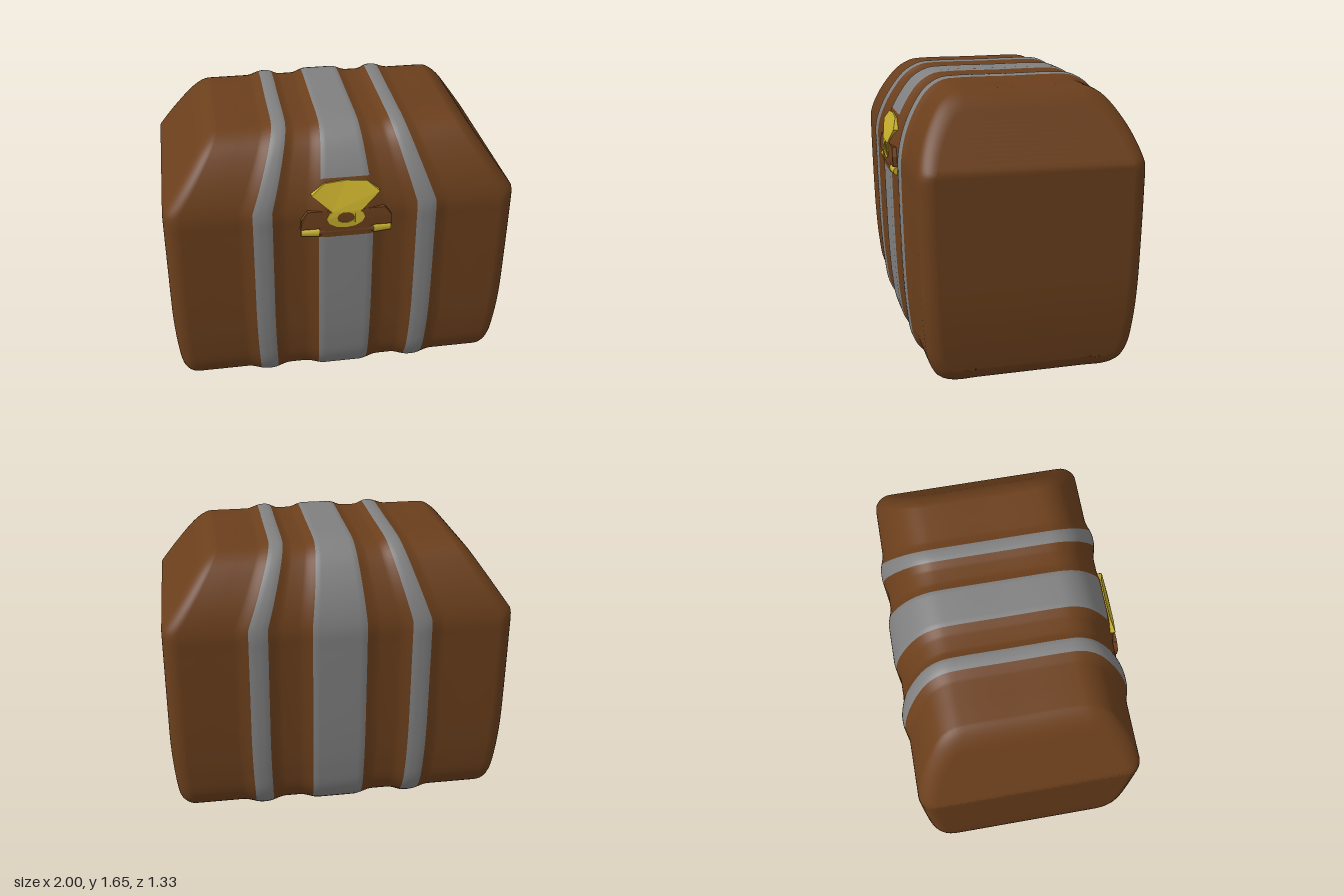
import * as THREE from 'three';

const brown = new THREE.MeshStandardMaterial({ color: 0x6b3f1c });
const grey = new THREE.MeshStandardMaterial({ color: 0x808080 });
const gold = new THREE.MeshStandardMaterial({ color: 0xc8b02c });

// Half cross-section of the chest as (z, y), from bottom middle over the front to top middle
const section = new THREE.CatmullRomCurve3([
  [0, 0.032], [0.3, 0.032], [0.45, 0.033], [0.53, 0.066], [0.58, 0.15], [0.605, 0.3], [0.62, 0.5],
  [0.63, 0.8], [0.635, 1.1], [0.634, 1.22], [0.6, 1.35], [0.535, 1.48], [0.46, 1.575],
  [0.38, 1.62], [0.3, 1.628], [0, 1.628],
].map(([z, y]) => new THREE.Vector3(z, y, 0)), false, 'centripetal');

const straps = [
  { name: 'rightStrap', c: -0.455, h: 0.055 },
  { name: 'centreStrap', c: 0.015, h: 0.155 },
  { name: 'leftStrap', c: 0.475, h: 0.055 },
];
const { smoothstep, lerp } = THREE.MathUtils;
const FADE = 0.08, ROUND = 0.09, HALF = 90, N = HALF * 2;

// Half length of the chest at height y: tucked in at the base, hipped at the lid
const halfLength = (y) => y > 1.24 ? 1 - (y - 1.24) * 0.71
  : 1 - 0.05 * Math.pow(Math.max(0, 1 - y / 0.6), 2);

// Swelling over the straps, 0 to 1
const swell = (u) => Math.max(...straps.map(({ c, h }) =>
  1 - smoothstep(Math.abs(u - c), h - 0.04, h + FADE)));

// Points and outward normals around the whole ring
function makeRing() {
  const ring = [];
  for (let j = 0; j < N; j++) {
    const k = j <= HALF ? j : N - j, side = j <= HALF ? 1 : -1;
    const p = section.getPointAt(k / HALF), t = section.getTangentAt(k / HALF);
    const flat = k === 0 || k === HALF;
    ring.push({ z: p.x * side, y: p.y, nz: flat ? 0 : t.y * side, ny: flat ? Math.sign(k - 1) : -t.x });
  }
  return ring;
}

// Stations along the chest: rounded ends, with extra loops at the strap edges
function makeStations() {
  const list = [];
  for (let i = 0; i <= 8; i++) {
    const a = (i / 8) * Math.PI / 2;
    const u = 1 - ROUND * (1 - Math.sin(a)), inset = ROUND * (1 - Math.cos(a));
    list.push({ u: -u, inset }, { u, inset });
  }
  for (const { c, h } of straps) {
    for (const d of [h + FADE, h + 0.055, h + 0.03, h + 0.012, h, h - 0.02, h - 0.04]) {
      list.push({ u: c - d, inset: 0 }, { u: c + d, inset: 0 });
    }
  }
  for (const u of [-0.75, 0.75]) list.push({ u, inset: 0 });
  return list.sort((a, b) => a.u - b.u);
}

// Chest shell split into wood and straps that share one smooth surface
function makeShell(group) {
  const ring = makeRing(), stations = makeStations(), pos = [];
  for (const { u, inset } of stations) {
    const s = swell(u);
    for (const p of ring) {
      const under = p.y < 0.06 && Math.abs(p.z) < 0.5;
      const rise = under ? 0.032 * smoothstep(Math.abs(p.z), 0.3, 0.46) : 0.025;
      const off = s * rise - inset;
      const y = p.y + p.ny * off;
      pos.push(u * halfLength(y), y, p.z + p.nz * off);
    }
  }
  const faces = { wood: [] };
  straps.forEach((s) => { faces[s.name] = []; });
  const last = stations.length - 1;
  for (let i = 0; i < last; i++) {
    const mid = (stations[i].u + stations[i + 1].u) / 2;
    const strap = straps.find(({ c, h }) => Math.abs(mid - c) < h);
    for (let j = 0; j < N; j++) {
      const k = (j + 1) % N, a = i * N, b = a + N;
      const y = (ring[j].y + ring[k].y) / 2;
      // the clasp interrupts the centre strap at the front
      const gap = strap === straps[1] && ring[j].z > 0.4 && y > 1.065 && y < 1.39;
      faces[strap && !gap ? strap.name : 'wood'].push(a + j, b + j, b + k, a + j, b + k, a + k);
    }
  }
  // end panels
  for (let j = 0; j < HALF; j++) {
    const back = (N - j) % N, back2 = N - j - 1, e = last * N;
    faces.wood.push(e + back, e + back2, e + j + 1, e + back, e + j + 1, e + j);
    faces.wood.push(back, j + 1, back2, back, j, j + 1);
  }
  const whole = new THREE.BufferGeometry();
  whole.setAttribute('position', new THREE.Float32BufferAttribute(pos, 3));
  whole.setIndex(Object.values(faces).flat());
  whole.computeVertexNormals();
  for (const [name, index] of Object.entries(faces)) {
    const g = new THREE.BufferGeometry();
    g.setAttribute('position', whole.getAttribute('position'));
    g.setAttribute('normal', whole.getAttribute('normal'));
    g.setIndex(index);
    add(group, name === 'wood' ? 'chestBody' : name, g, name === 'wood' ? brown : grey);
  }
}

function add(group, name, geometry, material) {
  const mesh = new THREE.Mesh(geometry, material);
  mesh.name = name;
  group.add(mesh);
  return mesh;
}

// Depth of the swollen front at height y
const frontPoints = section.getSpacedPoints(200).filter((p) => p.y > 0.9 && p.y < 1.6);
function frontZ(y) {
  const i = Math.max(1, frontPoints.findIndex((p) => p.y >= y));
  const a = frontPoints[i - 1], b = frontPoints[i];
  return lerp(a.x, b.x, (y - a.y) / (b.y - a.y)) + 0.025;
}

// Flat plate laid onto the curved front
function frontPlate(group, name, points, depth, lift, material, hole) {
  const shape = new THREE.Shape(points.map(([x, y]) => new THREE.Vector2(x, y)));
  if (hole) shape.holes.push(new THREE.Path(hole.map(([x, y]) => new THREE.Vector2(x, y))));
  const g = new THREE.ExtrudeGeometry(shape, { depth, bevelEnabled: false });
  const p = g.attributes.position;
  for (let i = 0; i < p.count; i++) p.setZ(i, p.getZ(i) - depth + lift + frontZ(p.getY(i)));
  g.computeVertexNormals();
  add(group, name, g, material);
}

const oval = (cx, cy, rx, ry, n) => Array.from({ length: n }, (_, i) => {
  const a = (i / n) * Math.PI * 2;
  return [cx + rx * Math.cos(a), cy + ry * Math.sin(a)];
});

function makeClasp() {
  const clasp = new THREE.Group();
  clasp.name = 'clasp';
  const cx = 0.015;
  // wooden backing behind the lock
  frontPlate(clasp, 'claspBacking', [[cx - 0.26, 1.12], [cx + 0.26, 1.12], [cx + 0.255, 1.18],
    [cx + 0.22, 1.23], [cx - 0.22, 1.23], [cx - 0.255, 1.18]], 0.03, 0.001, brown);
  // hasp and lock ring
  frontPlate(clasp, 'hasp', [[cx - 0.085, 1.225], [cx + 0.085, 1.225], [cx + 0.19, 1.325],
    [cx + 0.12, 1.385], [cx, 1.395], [cx - 0.12, 1.385], [cx - 0.195, 1.325]], 0.03, 0.01, gold);
  frontPlate(clasp, 'lockRing', oval(cx - 0.005, 1.183, 0.108, 0.063, 12), 0.03, 0.006, gold,
    oval(cx - 0.005, 1.185, 0.05, 0.034, 10));
  // hinge bar with gold ends
  const bar = (name, x, length, rIn, rOut, mat) => {
    const g = new THREE.CylinderGeometry(rIn, rOut, length, 8).rotateZ(Math.PI / 2);
    add(clasp, name, g, mat).position.set(x, 1.092, 0.637);
  };
  bar('hingeBar', cx, 0.31, 0.026, 0.026, brown);
  bar('rightBarEnd', cx - 0.205, 0.1, 0.024, 0.032, gold);
  bar('leftBarEnd', cx + 0.205, 0.1, 0.032, 0.024, gold);
  return clasp;
}

export function createModel() {
  const chest = new THREE.Group();
  chest.name = 'chest';
  makeShell(chest);
  chest.add(makeClasp());
  return chest;
}
